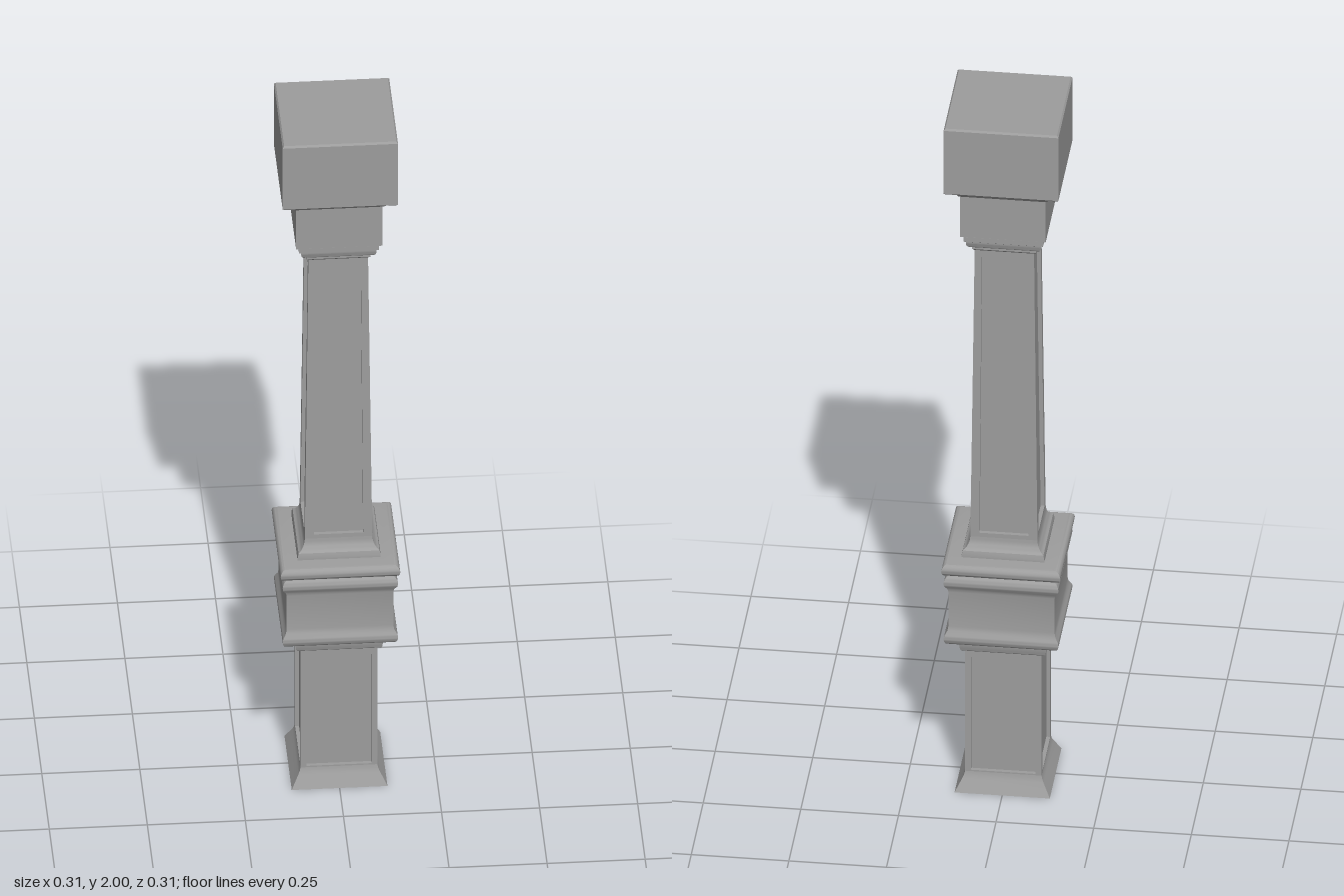
import * as THREE from 'three';
import { mergeGeometries, toCreasedNormals } from 'three/addons/utils/BufferGeometryUtils.js';

const material = new THREE.MeshStandardMaterial({ color: 0x9d9d9d, side: THREE.DoubleSide });

// Points along an elliptical arc in the profile plane (half width, height), angles in degrees
function arc(cx, cy, rx, ry, from, to, steps = 8) {
  const points = [];
  for (let i = 0; i <= steps; i++) {
    const a = THREE.MathUtils.degToRad(from + ((to - from) * i) / steps);
    points.push([cx + rx * Math.cos(a), cy + ry * Math.sin(a)]);
  }
  return points;
}

// Mitred square moulding: a four-sided lathe whose profile gives half widths, bottom to top
function moulding(name, profile) {
  const points = profile.map(([half, y]) => new THREE.Vector2(half * Math.SQRT2, y));
  const geometry = toCreasedNormals(new THREE.LatheGeometry(points, 4, Math.PI / 4), 0.65);
  const mesh = new THREE.Mesh(geometry, material);
  mesh.name = name;
  return mesh;
}

// Tapered square shaft with a recessed panel on each side
function panelledShaft(name, { y0, y1, half0, half1, panelY0, panelY1, panelHalf0, panelHalf1, depth }) {
  const faceZ = (y) => THREE.MathUtils.mapLinear(y, y0, y1, half0, half1);
  const ring = (bottom, top, w0, w1, inset) => [
    [-w0, bottom, faceZ(bottom) - inset],
    [w0, bottom, faceZ(bottom) - inset],
    [w1, top, faceZ(top) - inset],
    [-w1, top, faceZ(top) - inset],
  ];
  // Outer edge, panel opening, recessed panel
  const rings = [
    ring(y0, y1, half0, half1, 0),
    ring(panelY0, panelY1, panelHalf0, panelHalf1, 0),
    ring(panelY0, panelY1, panelHalf0, panelHalf1, depth),
  ];
  const positions = [];
  const quad = (a, b, c, d) => positions.push(...a, ...b, ...c, ...a, ...c, ...d);
  for (let r = 0; r < 2; r++) {
    for (let i = 0; i < 4; i++) {
      const j = (i + 1) % 4;
      quad(rings[r][i], rings[r][j], rings[r + 1][j], rings[r + 1][i]);
    }
  }
  quad(...rings[2]);
  const side = new THREE.BufferGeometry();
  side.setAttribute('position', new THREE.Float32BufferAttribute(positions, 3));
  side.computeVertexNormals();
  const sides = [0, 1, 2, 3].map((i) => side.clone().rotateY((i * Math.PI) / 2));
  const mesh = new THREE.Mesh(mergeGeometries(sides), material);
  mesh.name = name;
  return mesh;
}

export function createModel() {
  const post = new THREE.Group();
  post.name = 'squarePost';

  post.add(
    // Flared foot, open underneath
    moulding('foot', [[0.122, 0], [0.119, 0.006], [0.104, 0.034], [0.1, 0.043], [0.098, 0.052]]),

    panelledShaft('lowerShaft', {
      y0: 0.05, y1: 0.415, half0: 0.098, half1: 0.098,
      panelY0: 0.056, panelY1: 0.393, panelHalf0: 0.083, panelHalf1: 0.083,
      depth: 0.01,
    }),

    // Stepped moulding under the collar
    moulding('lowerMoulding', [
      [0.098, 0.412], [0.105, 0.416],
      ...arc(0.105, 0.426, 0.005, 0.009, -80, 0, 4),
      [0.112, 0.44], [0.112, 0.452],
    ]),

    // Collar block between two rounded beads
    moulding('collar', [
      [0.112, 0.449], [0.128, 0.451],
      ...arc(0.133, 0.472, 0.014, 0.019, -80, 45),
      [0.138, 0.494], [0.136, 0.506], [0.136, 0.608], [0.138, 0.618],
      ...arc(0.133, 0.638, 0.014, 0.019, -45, 85),
      [0.133, 0.661],
    ]),

    // Ledge bead on top of the collar
    moulding('ledge', [
      [0.133, 0.66], ...arc(0.137, 0.677, 0.0155, 0.017, -90, 90, 10), [0.105, 0.696],
    ]),

    // Concave foot of the upper shaft
    moulding('upperFoot', [
      [0.106, 0.694], [0.106, 0.702],
      ...arc(0.112, 0.748, 0.026, 0.036, 250, 180, 6),
    ]),

    panelledShaft('upperShaft', {
      y0: 0.745, y1: 1.608, half0: 0.086, half1: 0.076,
      panelY0: 0.76, panelY1: 1.58, panelHalf0: 0.063, panelHalf1: 0.058,
      depth: 0.01,
    }),

    // Moulding stepping out below the capital
    moulding('neckMoulding', [
      [0.076, 1.6], [0.082, 1.606], [0.082, 1.613],
      ...arc(0.082, 1.63, 0.014, 0.016, -85, 0, 5),
      [0.096, 1.635], [0.102, 1.639], [0.102, 1.654], [0.109, 1.657],
    ]),

    moulding('capital', [
      [0.101, 1.655], [0.11, 1.658], [0.11, 1.778],
      [0.114, 1.781], [0.118, 1.788], [0.127, 1.797], [0.127, 1.806],
    ]),

    // Top block with eased edges
    moulding('topBlock', [
      [0, 1.803], [0.143, 1.803], [0.147, 1.807], [0.147, 1.995], [0.143, 2], [0, 2],
    ]),
  );

  return post;
}
